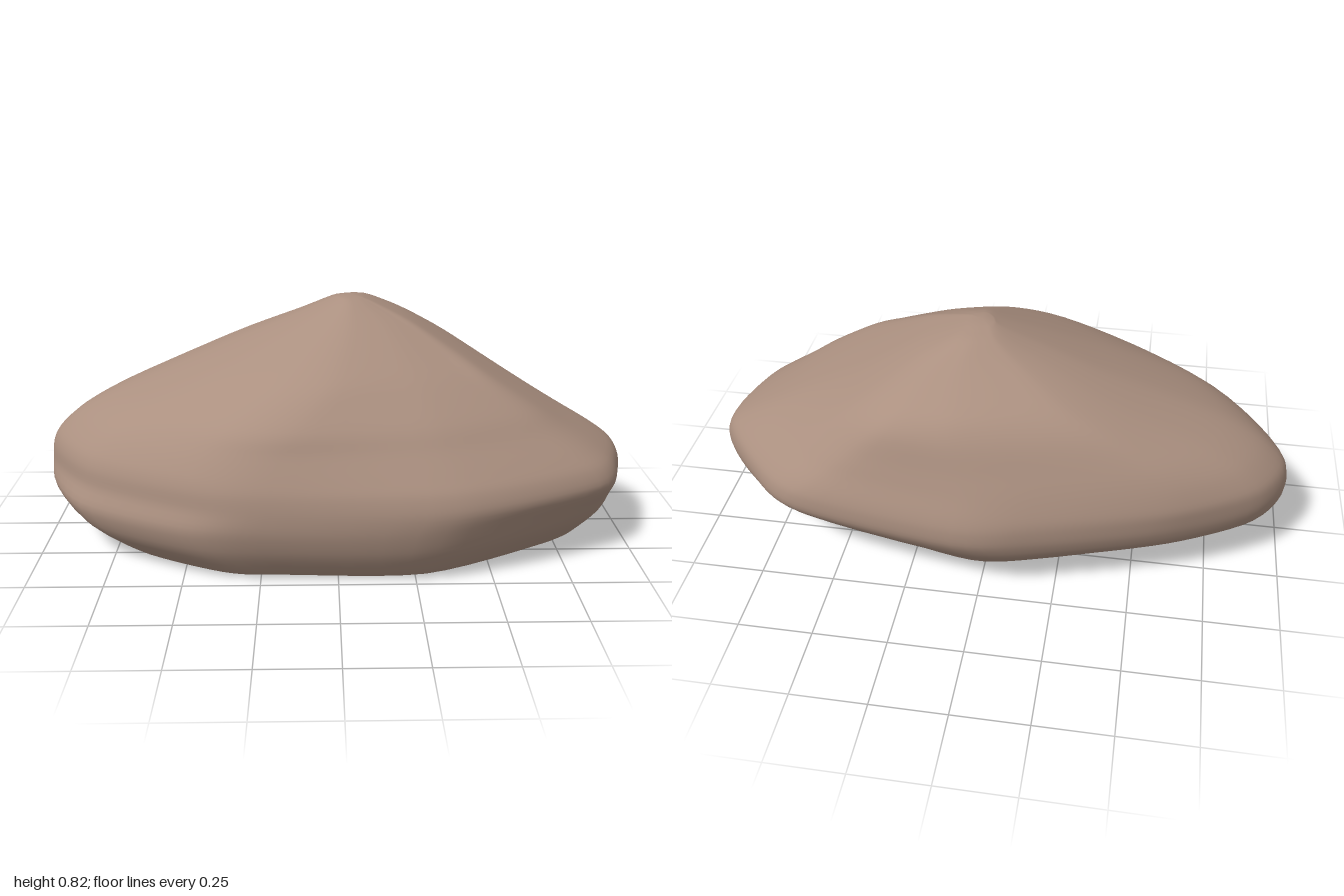
import * as THREE from 'three';

// Outline corners [x, z] of the foot, the waist and the crown, running left, back, right, front
const OUTLINES = [
  [[-.67, .1], [-.61, -.05], [-.44, -.16], [-.16, -.26], [.06, -.3], [.4, -.22], [.7, -.14],
    [.86, -.02], [.84, .1], [.7, .22], [.29, .43], [-.15, .43], [-.35, .41], [-.63, .26]],
  [[-1, -.03], [-.9, -.23], [-.6, -.39], [-.2, -.51], [.07, -.555], [.62, -.455], [.82, -.3],
    [.99, -.07], [.965, .13], [.86, .32], [.36, .53], [-.23, .53], [-.48, .47], [-.83, .26]],
  [[-.5, -.05], [-.47, -.22], [-.36, -.35], [-.1, -.43], [.1, -.46], [.32, -.43], [.44, -.32],
    [.5, -.12], [.5, .16], [.42, .23], [.25, .31], [-.02, .37], [-.2, .33], [-.4, .16]],
];

// Height, x range, z range, position in the list of outlines
const LEVELS = [
  [0, -.58, .8, -.23, .37, 0],
  [0, -.67, .86, -.3, .43, 0],
  [.02, -.73, .89, -.355, .47, .08],
  [.1, -.89, .96, -.43, .52, .4],
  [.18, -.99, .99, -.505, .545, .72],
  [.25, -1, 1, -.545, .55, 1],
  [.31, -.995, .975, -.55, .543, 1.1],
  [.36, -.97, .907, -.54, .525, 1.25],
  [.43, -.89, .79, -.515, .493, 1.45],
  [.5, -.76, .675, -.49, .46, 1.7],
  [.6, -.515, .51, -.455, .37, 2],
  [.67, -.343, .395, -.4, .27, 2],
  [.75, -.147, .255, -.265, .13, 2],
  [.8, -.03, .14, -.18, .03, 2],
  [.817, .01, .09, -.11, -.02, 2],
];
const COLUMNS = 84, STEPS = 56;

// Gently rounded closed outline, rescaled to the range 0..1 on both axes
function unitOutline(corners) {
  const curve = new THREE.CatmullRomCurve3(
    corners.map(([x, z]) => new THREE.Vector3(x, 0, z)), true, 'catmullrom', .4);
  const points = Array.from({ length: COLUMNS }, (_, i) => curve.getPoint(i / COLUMNS));
  const box = new THREE.Box3().setFromPoints(points);
  const size = box.getSize(new THREE.Vector3());
  return points.map((p) => p.sub(box.min).divide(new THREE.Vector3(size.x, 1, size.z)));
}

export function createModel() {
  const outlines = OUTLINES.map(unitOutline);
  const lerp = THREE.MathUtils.lerp;

  // Each column is a curve climbing from the underside through all levels
  const positions = [], index = [];
  for (let i = 0; i < COLUMNS; i++) {
    const path = LEVELS.map(([y, x0, x1, z0, z1, stage]) => {
      const k = Math.min(Math.floor(stage), 1);
      const unit = outlines[k][i].clone().lerp(outlines[k + 1][i], stage - k);
      return new THREE.Vector3(lerp(x0, x1, unit.x), y, lerp(z0, z1, unit.z));
    });
    const climb = new THREE.CatmullRomCurve3(path, false, 'catmullrom', .45);
    for (let j = 0; j <= STEPS; j++) {
      const p = climb.getPoint(j / STEPS);
      positions.push(p.x, Math.max(0, p.y), p.z);
    }
  }

  // Centre points closing the top and the flat underside
  const apex = positions.length / 3, bottom = apex + 1;
  positions.push(.05, .823, -.065, .1, 0, .07);

  const at = (i, j) => (i % COLUMNS) * (STEPS + 1) + j;
  for (let i = 0; i < COLUMNS; i++) {
    for (let j = 0; j < STEPS; j++) {
      index.push(at(i, j), at(i, j + 1), at(i + 1, j));
      index.push(at(i + 1, j), at(i, j + 1), at(i + 1, j + 1));
    }
    index.push(at(i, STEPS), apex, at(i + 1, STEPS));
    index.push(bottom, at(i, 0), at(i + 1, 0));
  }

  const geometry = new THREE.BufferGeometry();
  geometry.setAttribute('position', new THREE.Float32BufferAttribute(positions, 3));
  geometry.setIndex(index);
  geometry.computeVertexNormals();

  const stone = new THREE.Mesh(geometry, new THREE.MeshStandardMaterial({ color: 0xab9080 }));
  stone.name = 'stone';
  const group = new THREE.Group();
  group.name = 'rock';
  group.add(stone);
  return group;
}
